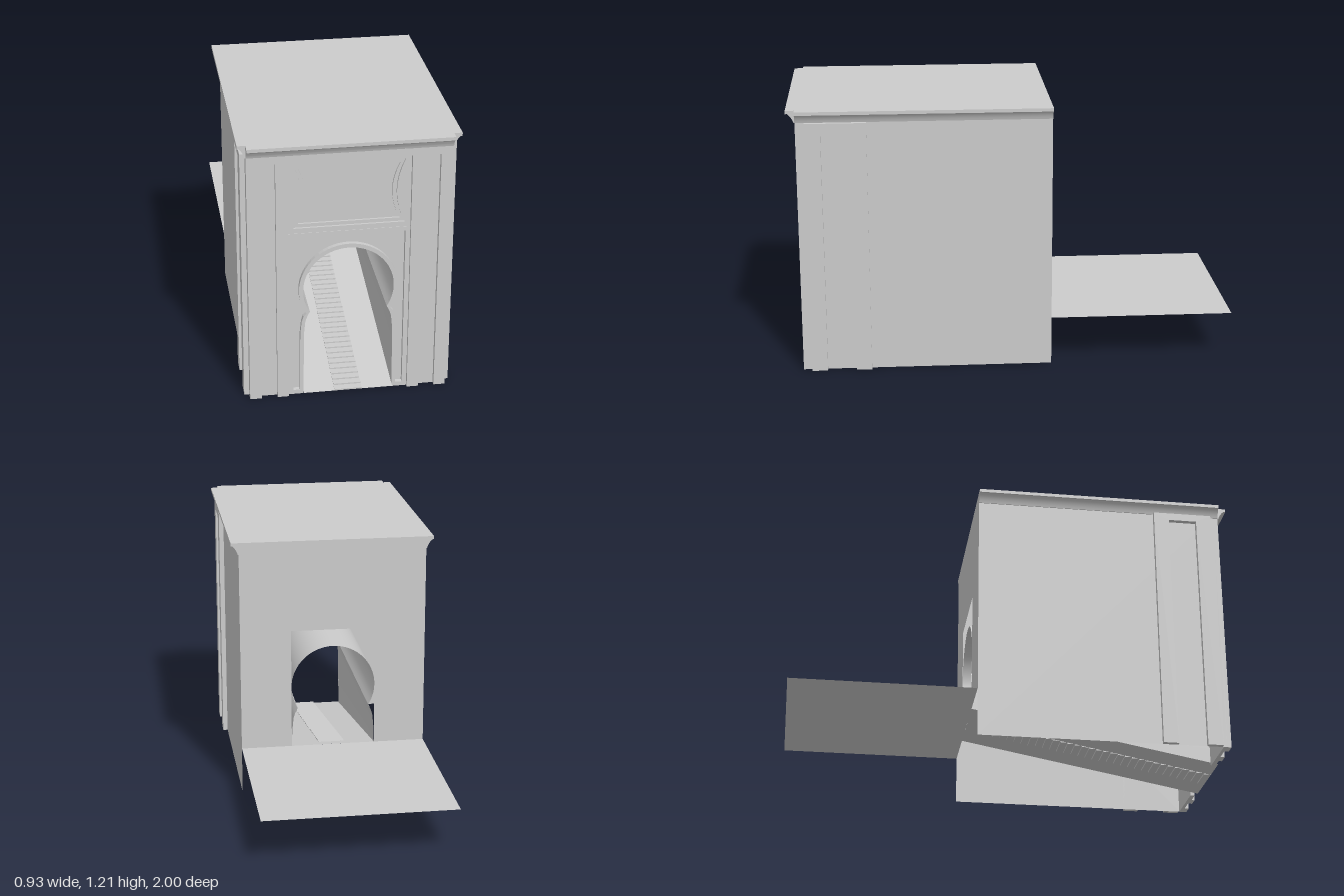
import * as THREE from 'three';
import { toCreasedNormals } from 'three/addons/utils/BufferGeometryUtils.js';

const material = new THREE.MeshStandardMaterial({ color: 0xcccccc, side: THREE.DoubleSide });
const BACK = -0.17, FRONT = 0.96, WALL = 0.925, HALF = 0.43, TOP = 1.155, ROOF = 1.21, DECK = 0.22;

const rampY = z => 0.01 + (DECK - 0.01) * (FRONT - z) / (FRONT - BACK);
const V = (x, y) => new THREE.Vector2(x, y);
const rect = (x0, y0, x1, y1) => [V(x0, y0), V(x1, y0), V(x1, y1), V(x0, y1)];

// Horseshoe outline from bottom right over the crown to bottom left, y0 = foot height
function archPoints(r, foot, y0) {
  const right = [V(foot, y0), V(foot - 0.003, 0.3), V(foot - 0.009, 0.36), V(foot - 0.017, 0.385)];
  const a0 = -0.55, n = 40, arc = [];
  for (let i = 0; i <= n; i++) {
    const a = a0 + (Math.PI - 2 * a0) * i / n;
    arc.push(V(r * Math.cos(a), 0.51 + r * Math.sin(a)));
  }
  return [...right, ...arc, ...right.map(p => V(-p.x, p.y)).reverse()];
}

// Rectangle standing on the ground with the archway cut out
function archedShape(half, height) {
  return new THREE.Shape([V(half, 0), V(half, height), V(-half, height), V(-half, 0),
    ...archPoints(0.195, 0.195, 0).reverse()]);
}

// Four-cornered tablet with curved, waisted sides
function tabletPoints(w, waist, y0, y1) {
  const side = new THREE.QuadraticBezierCurve(V(w, y0), V(2 * waist - w, (y0 + y1) / 2), V(w, y1)).getPoints(8);
  return [...side, ...side.map(p => V(-p.x, p.y)).reverse()];
}

export function createModel() {
  const model = new THREE.Group();
  const add = (name, geo, x = 0, y = 0, z = 0, parent = model) => {
    const m = new THREE.Mesh(geo, material);
    m.name = name;
    m.position.set(x, y, z);
    parent.add(m);
    return m;
  };
  const slab = (shape, depth) => new THREE.ExtrudeGeometry(shape, { depth, bevelEnabled: false });
  const flat = points => new THREE.ShapeGeometry(new THREE.Shape(points));
  const box = (x, y, z) => new THREE.BoxGeometry(x, y, z);

  // Thin front wall with the archway
  add('frontWall', new THREE.ShapeGeometry(archedShape(HALF, TOP)), 0, 0, WALL);

  // Arch surround with a sunk spandrel field
  const surround = archedShape(0.26, 0.787);
  surround.holes.push(new THREE.Path([V(0.24, 0.02), V(0.24, 0.768), V(-0.24, 0.768), V(-0.24, 0.02),
    ...archPoints(0.213, 0.211, 0.02).reverse()]));
  add('archSurround', slab(surround, 0.02), 0, 0, WALL);

  // Upper panel with a stepped, waisted tablet
  const upper = new THREE.Shape(rect(-0.26, 0.787, 0.26, 1.12));
  upper.holes.push(new THREE.Path(tabletPoints(0.235, 0.2, 0.81, 1.1)));
  add('upperPanel', slab(upper, 0.018), 0, 0, WALL);
  const step = new THREE.Shape(tabletPoints(0.235, 0.2, 0.81, 1.1));
  step.holes.push(new THREE.Path(tabletPoints(0.215, 0.182, 0.826, 1.082)));
  add('tabletFrame', slab(step, 0.009), 0, 0, WALL);
  add('lintel', box(0.52, TOP - 1.12, FRONT - WALL), 0, (TOP + 1.12) / 2, (FRONT + WALL) / 2);

  // Pilaster face with a sunk strip that is open at the foot
  const pilaster = (half, notch, depth) => slab(new THREE.Shape([V(-half, 0), V(-notch, 0), V(-notch, 1.12),
    V(notch, 1.12), V(notch, 0), V(half, 0), V(half, TOP), V(-half, TOP)]), depth);

  for (const s of [1, -1]) {
    const side = s > 0 ? 'left' : 'right';
    add(side + 'FrontPilaster', pilaster(0.085, 0.035, 0.02), s * 0.345, 0, 0.94);
    add(side + 'FrontPilasterBack', box(0.17, TOP, 0.015), s * 0.345, TOP / 2, 0.9325);
    add(side + 'SidePilaster', pilaster(0.135, 0.065, 0.022).rotateY(s * Math.PI / 2), s * HALF, 0, 0.785);

    // Side wall and the back pier beside the opening
    add(side + 'Wall', new THREE.PlaneGeometry(WALL - BACK, TOP).rotateY(s * Math.PI / 2),
      s * HALF, TOP / 2, (WALL + BACK) / 2);
    add(side + 'BackPier', flat(rect(0.195, DECK, HALF, 0.785)).rotateY(s > 0 ? 0 : Math.PI), 0, 0, BACK);

    // Ramp strip beside the steps
    const ramp = new THREE.PlaneGeometry(0.135, 1).rotateX(-Math.PI / 2);
    const p = ramp.attributes.position;
    for (let i = 0; i < p.count; i++) {
      const z = p.getZ(i) > 0 ? FRONT : BACK;
      p.setXYZ(i, p.getX(i) + s * 0.1275, rampY(z), z);
    }
    ramp.computeVertexNormals();
    add(side + 'Ramp', ramp);
  }
  add('backBand', flat(rect(-HALF, 0.785, HALF, ROOF)), 0, 0, BACK);

  // Vaulted passage whose foot follows the ramp
  const outline = archPoints(0.195, 0.195, 0), n = outline.length - 1;
  const vault = new THREE.PlaneGeometry(1, 1, n, 1), vp = vault.attributes.position;
  for (let i = 0; i < vp.count; i++) {
    const k = i % (n + 1), z = i > n ? BACK : 0.945;
    vp.setXYZ(i, outline[k].x, k === 0 || k === n ? rampY(z) : outline[k].y, z);
  }
  add('passageVault', toCreasedNormals(vault, 0.4));

  // Steps up the middle of the ramp
  const steps = new THREE.Group();
  steps.name = 'steps';
  model.add(steps);
  const count = 32, z0 = 0.96, z1 = -0.11, run = (z0 - z1) / count, rise = (rampY(z1) - rampY(z0)) / count;
  for (let i = 0; i < count; i++) {
    const z = z0 - (i + 0.5) * run;
    add('step', box(0.12, rise, run), 0, rampY(z), z, steps);
  }
  const landing = new THREE.PlaneGeometry(0.12, z1 - BACK).rotateX(-Math.PI / 2);
  landing.rotateX(Math.atan((DECK - 0.01) / (FRONT - BACK)));
  add('rampHead', landing, 0, rampY((z1 + BACK) / 2), (z1 + BACK) / 2);

  // Flat deck behind the gate
  add('rearDeck', new THREE.PlaneGeometry(2 * HALF, 1 + BACK).rotateX(-Math.PI / 2), 0, DECK, (BACK - 1) / 2);

  // Cornice: hollow moulding under a square fillet, notched at the front corners
  const moulding = (out, s, length) => {
    const shape = new THREE.Shape();
    shape.moveTo(0, TOP);
    shape.lineTo(s * out * 0.1, TOP);
    shape.quadraticCurveTo(s * out * 0.3, 1.18, s * out * 0.75, 1.195);
    shape.lineTo(s * out, 1.195);
    shape.lineTo(s * out, ROOF);
    shape.lineTo(0, ROOF);
    return toCreasedNormals(new THREE.ExtrudeGeometry(shape,
      { depth: length, bevelEnabled: false, curveSegments: 6 }), 0.5);
  };
  add('frontCornice', moulding(0.04, 1, 2 * HALF).rotateY(-Math.PI / 2), HALF, 0, FRONT);
  add('leftCornice', moulding(0.035, 1, FRONT - BACK), HALF, 0, BACK);
  add('rightCornice', moulding(0.035, -1, FRONT - BACK), -HALF, 0, BACK);
  add('roof', new THREE.PlaneGeometry(2 * HALF, FRONT - BACK).rotateX(-Math.PI / 2), 0, ROOF, (FRONT + BACK) / 2);

  return model;
}
